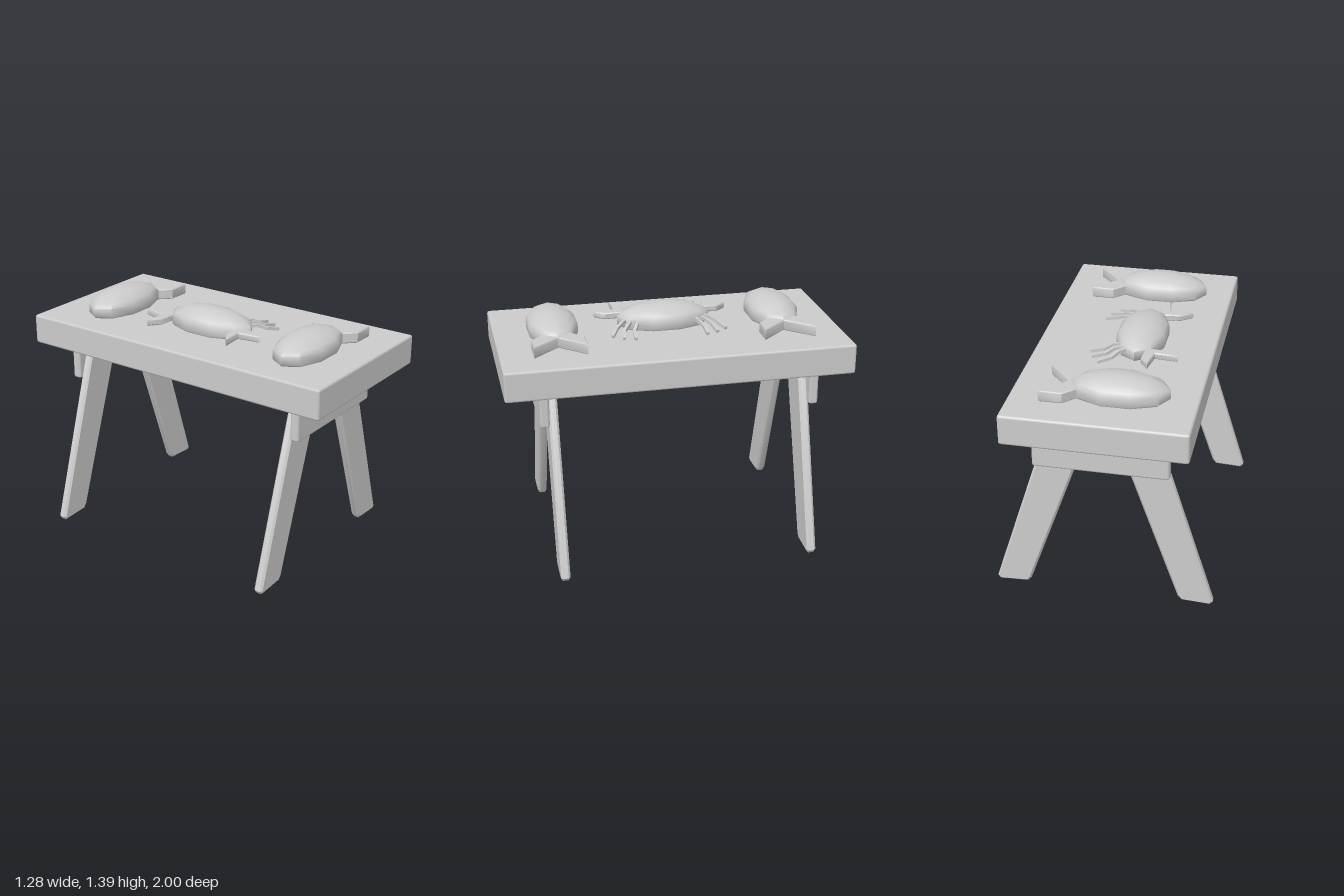
import * as THREE from 'three';
import { toCreasedNormals } from 'three/addons/utils/BufferGeometryUtils.js';
import { RoundedBoxGeometry } from 'three/addons/geometries/RoundedBoxGeometry.js';

const TOP = 1.262; // height of the table surface
const material = new THREE.MeshStandardMaterial({ color: 0xcccccc });

function add(parent, name, geometry) {
  const mesh = new THREE.Mesh(geometry, material);
  mesh.name = name;
  parent.add(mesh);
  return mesh;
}

// Chamfered slab given by its ranges on each axis
function slab(parent, name, [x0, x1], [y0, y1], [z0, z1], chamfer) {
  const geometry = new RoundedBoxGeometry(x1 - x0, y1 - y0, z1 - z0, 1, chamfer);
  add(parent, name, geometry).position.set((x0 + x1) / 2, (y0 + y1) / 2, (z0 + z1) / 2);
}

// Outline extruded from z = 0 to z = thickness, with a small bevel kept inside the outline
function plate(points, thickness, bevel) {
  const shape = new THREE.Shape(points.map(([x, y]) => new THREE.Vector2(x, y)));
  const geometry = new THREE.ExtrudeGeometry(shape, {
    depth: thickness - 2 * bevel, bevelEnabled: true, bevelSegments: 1,
    bevelSize: bevel, bevelThickness: bevel, bevelOffset: -bevel,
  });
  geometry.translate(0, 0, bevel);
  return toCreasedNormals(geometry, 0.6);
}

// Plate lying flat, outline in x and z, between two heights
function flatPlate(parent, name, points, y0, y1) {
  const geometry = plate(points, y1 - y0, 0.006).rotateX(Math.PI / 2);
  add(parent, name, geometry).position.y = y1;
}

// Ten-sided domed body, long along z
function bodyGeometry() {
  const profile = [[0, 0], [0.96, 0], [1, 0.01], [1, 0.062], [0.9, 0.083], [0.65, 0.112], [0.33, 0.126], [0, 0.133]];
  const geometry = new THREE.LatheGeometry(profile.map(([r, y]) => new THREE.Vector2(r, y)), 10);
  geometry.scale(0.148, 1, 0.275);
  return toCreasedNormals(geometry, 0.9);
}

// Fish: body and forked tail
function addFish(parent, z) {
  const fish = new THREE.Group();
  fish.name = 'fish';
  fish.position.z = z;
  const body = add(fish, 'fishBody', bodyGeometry());
  body.rotation.y = Math.PI / 2;
  body.position.set(-0.08, TOP, 0);
  const half = [[0.335, -0.15], [0.205, -0.15], [0.14, -0.085], [0.1, -0.04]];
  const mirrored = half.map(([x, y]) => [x, -y]).reverse();
  flatPlate(fish, 'fishTail', [[0.2, 0], ...half, ...mirrored], TOP, 1.326);
  parent.add(fish);
}

// Square bar joining two points
function bar(parent, name, a, b, width) {
  const from = new THREE.Vector3(...a), to = new THREE.Vector3(...b);
  const mesh = add(parent, name, new THREE.BoxGeometry(width, width, from.distanceTo(to) + width * 0.3));
  mesh.position.copy(from).add(to).multiplyScalar(0.5);
  mesh.lookAt(to);
}

// Crab: body, two claws and three bent legs on each side
function addCrab(parent) {
  const crab = new THREE.Group();
  crab.name = 'crab';
  add(crab, 'crabBody', bodyGeometry()).position.set(-0.08, TOP, 0);
  const claw = [[-0.177, 0.4], [-0.13, 0.34], [-0.135, 0.215], [-0.26, 0.225], [-0.33, 0.28], [-0.198, 0.272]];
  const legs = [
    [[-0.04, 0.22], [0.01, 0.262], [0.045, 0.3], [0.115, 0.333]],
    [[-0.02, 0.2], [0.045, 0.228], [0.085, 0.26], [0.16, 0.274]],
    [[0, 0.165], [0.06, 0.182], [0.105, 0.206], [0.182, 0.21]],
  ];
  const heights = [1.313, 1.31, 1.29, 1.273];
  for (const side of [1, -1]) {
    flatPlate(crab, 'crabClaw', claw.map(([x, z]) => [x, side * z]), 1.288, 1.326);
    for (const leg of legs) {
      const path = leg.map(([x, z], i) => [x, heights[i], side * z]);
      for (let i = 0; i < 3; i++) bar(crab, 'crabLeg', path[i], path[i + 1], 0.018);
    }
  }
  parent.add(crab);
}

export function createModel() {
  const model = new THREE.Group();
  model.name = 'fishTable';

  slab(model, 'tableTop', [-0.512, 0.512], [1.085, TOP], [-1, 1], 0.014);

  // Cross boards under each end, with splayed legs on their inner side
  slab(model, 'frontBoard', [-0.383, 0.383], [0.857, 1.072], [0.745, 0.8], 0.014);
  slab(model, 'backBoard', [-0.383, 0.383], [0.857, 1.072], [-0.828, -0.773], 0.014);
  const leg = [
    [0.622, 0], [0.638, 0.022], [0.327, 1.01], [0.31, 1.03],
    [0.115, 1.03], [0.094, 1.01], [0.433, 0.035], [0.456, 0.008],
  ];
  for (const side of [1, -1]) {
    for (const [name, z] of [['frontLeg', 0.693], ['backLeg', -0.776]]) {
      const geometry = plate(leg.map(([x, y]) => [side * x, y]), 0.054, 0.012);
      add(model, name, geometry).position.z = z;
    }
  }

  addFish(model, 0.66);
  addFish(model, -0.66);
  addCrab(model);
  return model;
}
